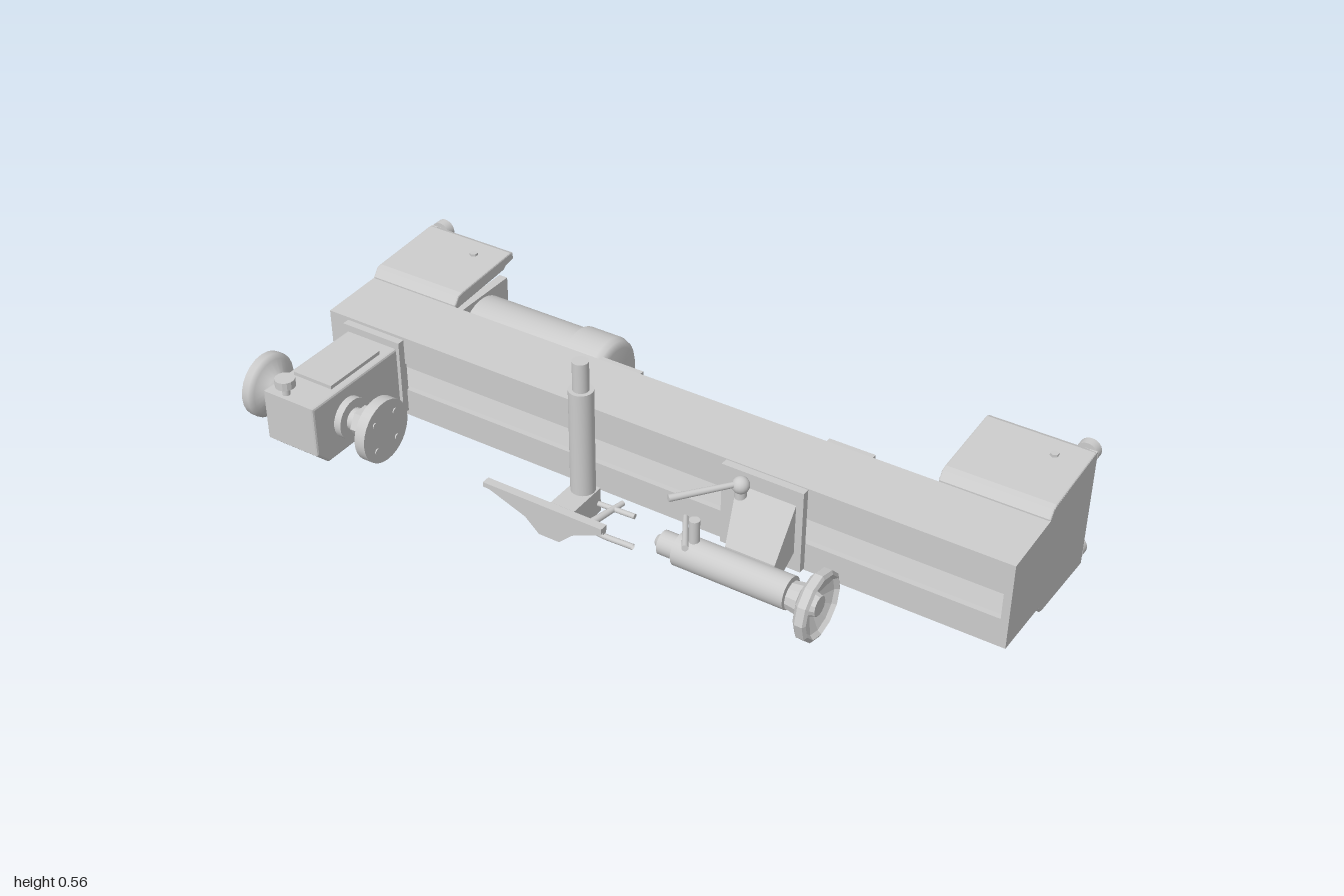
import * as THREE from 'three';

const mat = new THREE.MeshStandardMaterial({ color: 0xcccccc, side: THREE.DoubleSide });
const flat = new THREE.MeshStandardMaterial({ color: 0xcccccc, side: THREE.DoubleSide, flatShading: true });

export function createModel() {
  const root = new THREE.Group();
  root.name = 'woodLathe';
  const add = (name, geo, m = mat) => {
    const mesh = new THREE.Mesh(geo, m);
    mesh.name = name;
    root.add(mesh);
    return mesh;
  };
  // box from its min and max on each axis
  const box = (name, x0, x1, y0, y1, z0, z1) =>
    add(name, new THREE.BoxGeometry(x1 - x0, y1 - y0, z1 - z0).translate((x0 + x1) / 2, (y0 + y1) / 2, (z0 + z1) / 2));
  // round bar between two points, r0 at the start and r1 at the end
  const bar = (name, a, b, r0, r1 = r0, seg = 24, m = mat) => {
    const p = new THREE.Vector3(...a), q = new THREE.Vector3(...b), d = q.clone().sub(p);
    const mesh = add(name, new THREE.CylinderGeometry(r1, r0, d.length(), seg), m);
    mesh.position.copy(p).add(q).multiplyScalar(0.5);
    mesh.quaternion.setFromUnitVectors(new THREE.Vector3(0, 1, 0), d.normalize());
    return mesh;
  };
  const ball = (name, r, x, y, z) => add(name, new THREE.SphereGeometry(r, 16, 12).translate(x, y, z));
  const shape = pts => new THREE.Shape(pts.map(p => new THREE.Vector2(...p)));
  // [z, y] outline swept from x0 to x1
  const sweepX = (name, pts, x0, x1, bevel = 0) =>
    add(name, new THREE.ExtrudeGeometry(shape(pts), {
      depth: x1 - x0 - 2 * bevel, bevelEnabled: bevel > 0, bevelSize: bevel, bevelThickness: bevel, bevelOffset: -bevel, bevelSegments: 2,
    }).rotateY(-Math.PI / 2).translate(x1 - bevel, 0, 0));
  // [radius, distance] profile turned about an axis along x
  const turnX = (name, pts, x, y, z, dir = 1, seg = 32, m = mat) =>
    add(name, new THREE.LatheGeometry(pts.map(p => new THREE.Vector2(...p)), seg).rotateZ(-dir * Math.PI / 2).translate(x, y, z), m);
  const tube = (name, pts, r) =>
    add(name, new THREE.TubeGeometry(new THREE.CatmullRomCurve3(pts.map(p => new THREE.Vector3(...p))), 40, r, 10));

  // bed: two facing channel rails, mirrored about mid height
  const mid = 0.294;
  for (const s of [1, -1]) {
    const rail = [[0.06, 0.119], [-0.12, 0.126], [-0.12, 0.04], [-0.105, 0.04], [-0.105, 0.111], [0.045, 0.104], [0.045, 0.04], [0.06, 0.04]];
    sweepX(s > 0 ? 'upperRail' : 'lowerRail', rail.map(([z, y]) => [z, mid + s * y]), -0.95, 0.98);
  }

  // end frames: end plate, two thick flanges and two round feet
  for (const s of [-1, 1]) {
    const outer = s > 0 ? 0.99 : -0.95, inner = s > 0 ? 0.71 : -0.68;
    const lo = Math.min(outer, inner), hi = Math.max(outer, inner);
    const plate = [[0.06, 0.119], [-0.12, 0.126], [-0.14, 0.15], [-0.375, 0.165]];
    const outline = [...plate.map(([z, y]) => [z, mid + y]), ...plate.reverse().map(([z, y]) => [z, mid - y])];
    sweepX('endPlate', outline, s > 0 ? 0.97 : -0.95, s > 0 ? 0.99 : -0.93);
    for (const t of [-1, 1]) {
      const flange = [[-0.12, 0.115], [-0.12, 0.13], [-0.135, 0.15], [-0.15, 0.154], [-0.365, 0.167], [-0.378, 0.162], [-0.378, 0.143], [-0.345, 0.138], [-0.335, 0.13]];
      sweepX('frameFlange', flange.map(([z, y]) => [z, mid + t * y]), lo, hi, 0.004);
      const fx = s > 0 ? 0.96 : -0.93;
      bar('foot', [fx, mid + t * 0.143, -0.365], [fx, mid + t * 0.143, -0.39], 0.015);
      bar('foot', [fx, mid + t * 0.143, -0.385], [fx, mid + t * 0.143, -0.41], 0.028);
      bar('flangeBolt', [hi - 0.08, mid + t * 0.155, -0.31], [hi - 0.08, mid + t * 0.17, -0.31], 0.011, 0.011, 6, flat);
    }
  }

  // access panel and knobs on the headstock end
  box('accessPanel', -0.956, -0.948, 0.2, 0.39, -0.3, 0.02);
  for (const z of [-0.16, -0.05]) {
    bar('panelKnobStem', [-0.95, 0.3, z], [-0.98, 0.3, z], 0.012);
    bar('panelKnob', [-0.978, 0.3, z], [-1, 0.3, z], 0.025, 0.025, 12, flat);
  }
  bar('panelBolt', [-0.95, 0.4, -0.335], [-0.965, 0.4, -0.335], 0.01);

  // tie plates joining the rails at the back
  for (const x of [-0.175, 0.475]) {
    box('tiePlate', x - 0.062, x + 0.062, 0.175, 0.413, -0.142, -0.12);
    for (const y of [0.22, 0.37]) {
      bar('tieWasher', [x, y, -0.14], [x, y, -0.147], 0.027);
      bar('tieBolt', [x, y, -0.145], [x, y, -0.165], 0.018, 0.018, 6, flat);
    }
  }

  // motor with end cap and mounting plate
  box('motorMount', -0.7, -0.675, 0.19, 0.4, -0.34, -0.12);
  turnX('motor', [[0, 0], [0.098, 0], [0.098, 0.31], [0.106, 0.312], [0.106, 0.405], [0.1, 0.42], [0.085, 0.432], [0, 0.432]], -0.68, mid, -0.225, 1, 40);

  // switch box, cable gland and cables
  box('switchBox', 0.72, 0.88, 0.16, 0.29, -0.31, -0.17);
  bar('cableGland', [0.8, 0.29, -0.24], [0.8, 0.32, -0.24], 0.032, 0.028);
  bar('cableGland', [0.8, 0.32, -0.24], [0.8, 0.345, -0.24], 0.016);
  tube('cable', [[0.8, 0.34, -0.24], [0.78, 0.365, -0.2], [0.7, 0.33, -0.1], [0.45, 0.31, -0.08], [0, 0.29, -0.08], [-0.4, 0.28, -0.08], [-0.66, 0.27, -0.11]], 0.006);
  sweepX('switchBracket', [[-0.205, 0.13], [-0.29, 0.13], [-0.29, 0.1], [-0.265, 0.08], [-0.235, 0.08]], 0.775, 0.84);

  // belt tension lever and hanging tab
  ball('leverPivot', 0.018, -0.625, 0.13, -0.225);
  bar('tensionLever', [-0.625, 0.13, -0.225], [-0.625, 0.015, -0.2], 0.006, 0.008);
  ball('leverGrip', 0.011, -0.625, 0.014, -0.2);
  sweepX('hangingTab', [[-0.22, 0.13], [-0.256, 0.13], [-0.256, 0.012], [-0.245, 0.003], [-0.23, 0.003], [-0.22, 0.012]], -0.672, -0.664);

  // headstock body, spindle, faceplate and lock knob
  box('headstockBase', -0.89, -0.71, 0.19, 0.405, 0.055, 0.08);
  sweepX('headstockBody', [[0.07, 0.205], [0.365, 0.205], [0.405, 0.245], [0.405, 0.385], [0.07, 0.385]], -0.88, -0.72, 0.006);
  sweepX('headstockCap', [[0.12, 0.38], [0.31, 0.38], [0.31, 0.395], [0.12, 0.395]], -0.86, -0.74);
  const hz = 0.28, hy = 0.295;
  bar('spindle', [-0.89, hy, hz], [-0.62, hy, hz], 0.03);
  bar('spindleCollar', [-0.72, hy, hz], [-0.7, hy, hz], 0.055);
  bar('spindleNut', [-0.68, hy, hz], [-0.635, hy, hz], 0.042, 0.042, 6, flat);
  bar('faceplate', [-0.63, hy, hz], [-0.6, hy, hz], 0.085, 0.085, 32);
  for (let i = 0; i < 4; i++) {
    const a = i * Math.PI / 2 + Math.PI / 4;
    bar('faceplateScrew', [-0.602, hy + 0.055 * Math.cos(a), hz + 0.055 * Math.sin(a)], [-0.597, hy + 0.055 * Math.cos(a), hz + 0.055 * Math.sin(a)], 0.008);
  }
  bar('lockKnobStem', [-0.82, 0.38, 0.385], [-0.82, 0.415, 0.385], 0.01);
  bar('lockKnob', [-0.82, 0.41, 0.385], [-0.82, 0.432, 0.385], 0.026, 0.026, 14, flat);

  // dished handwheels for headstock and tailstock
  const wheel = [[0, 0], [0.035, 0], [0.04, 0.03], [0.075, 0.045], [0.087, 0.055], [0.087, 0.075], [0.078, 0.08], [0.07, 0.07], [0.03, 0.055], [0.025, 0.072], [0, 0.072]];
  turnX('headstockHandwheel', wheel, -0.92, hy, hz, -1, 24);
  bar('handwheelHub', [-0.93, hy, hz], [-0.87, hy, hz], 0.04);
  turnX('tailstockHandwheel', wheel, 0.56, hy, 0.285, 1, 12, flat);

  // tailstock: base plate, leaning casting, barrel and quill
  box('tailstockBase', 0.25, 0.47, 0.18, 0.41, 0.06, 0.08);
  const casting = new THREE.BoxGeometry(1, 1, 1);
  const p = casting.attributes.position;
  for (let i = 0; i < p.count; i++) {
    const front = p.getZ(i) > 0;
    p.setXYZ(i, (front ? 0.435 : 0.37) + p.getX(i) * (front ? 0.13 : 0.16), hy + 0.005 + p.getY(i) * (front ? 0.07 : 0.14), front ? 0.26 : 0.075);
  }
  casting.computeVertexNormals();
  add('tailstockCasting', casting);
  bar('tailstockBarrel', [0.26, hy, 0.28], [0.555, hy, 0.28], 0.041, 0.041, 32);
  bar('tailstockQuill', [0.215, hy, 0.28], [0.27, hy, 0.28], 0.03);
  bar('tailstockCenter', [0.2, hy, 0.28], [0.216, hy, 0.28], 0.012, 0.026);
  bar('quillLockStem', [0.3, 0.33, 0.28], [0.3, 0.395, 0.28], 0.013);
  bar('quillLockLever', [0.27, 0.385, 0.27], [0.34, 0.4, 0.385], 0.006, 0.008);
  bar('clampStem', [0.32, 0.3, 0.11], [0.32, 0.405, 0.11], 0.015);
  ball('clampHub', 0.022, 0.32, 0.395, 0.11);
  bar('clampLever', [0.32, 0.4, 0.11], [0.21, 0.4, 0.25], 0.007, 0.009);

  // tool rest carrier: upright clamp post, block, rest and cranks
  const tx = -0.14;
  bar('carrierPost', [tx, 0.18, 0.09], [tx, 0.482, 0.09], 0.032);
  bar('carrierShaft', [tx, 0.48, 0.09], [tx, 0.563, 0.09], 0.021);
  box('carrierBlock', tx - 0.035, tx + 0.035, 0.115, 0.185, 0.065, 0.18);
  bar('restStem', [tx, 0.15, 0.17], [tx, 0.15, 0.235], 0.017);
  add('toolRest', new THREE.ExtrudeGeometry(
    shape([[-0.33, 0.225], [0.02, 0.225], [0.02, 0.205], [-0.07, 0.165], [-0.11, 0.128], [-0.17, 0.128], [-0.21, 0.165], [-0.33, 0.21]]),
    { depth: 0.014, bevelEnabled: false }).translate(0, 0, 0.226));
  box('restLip', -0.33, 0.02, 0.212, 0.226, 0.224, 0.247);
  bar('crankStem', [tx + 0.01, 0.12, 0.08], [tx + 0.01, 0.09, 0.08], 0.013, 0.009);
  tube('crank', [[tx + 0.01, 0.095, 0.08], [tx + 0.015, 0.065, 0.08], [tx + 0.035, 0.054, 0.08], [0, 0.054, 0.08]], 0.008);
  bar('restClampScrew', [tx + 0.03, 0.143, 0.155], [tx + 0.065, 0.143, 0.155], 0.013);
  bar('restClampLever', [tx + 0.06, 0.143, 0.165], [tx + 0.085, 0.143, 0.04], 0.011, 0.007);
  bar('restClampHandle', [tx + 0.03, 0.143, 0.075], [tx + 0.14, 0.143, 0.07], 0.007);
  return root;
}
